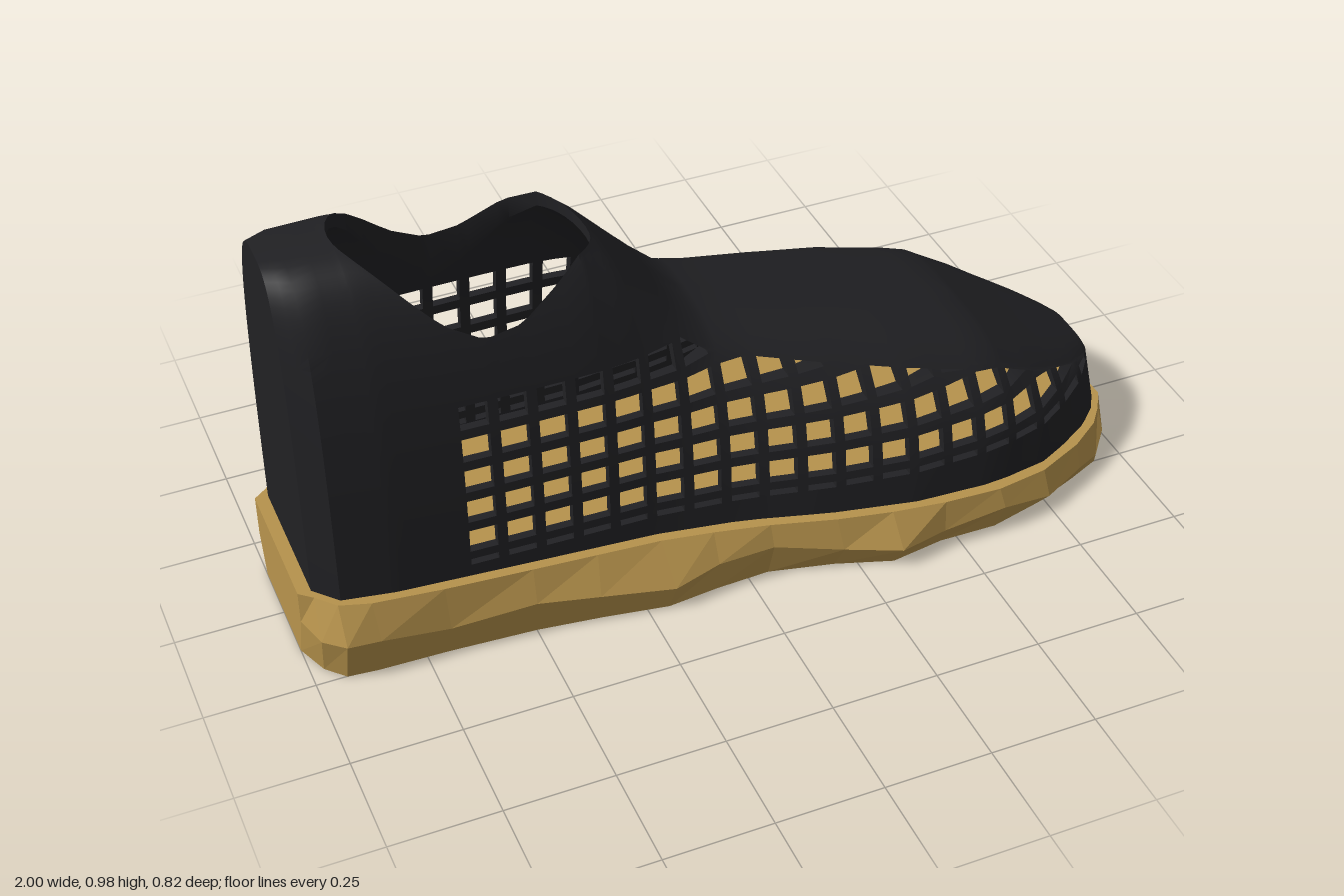
import * as THREE from 'three';
import { toCreasedNormals } from 'three/addons/utils/BufferGeometryUtils.js';

const { lerp, clamp } = THREE.MathUtils;
const N = 3.4; // exponent of the superelliptic cross-section

// Linear interpolation through [x, value] knots
function along(knots, x) {
  if (x <= knots[0][0]) return knots[0][1];
  for (let i = 1; i < knots.length; i++) {
    const [x0, v0] = knots[i - 1], [x1, v1] = knots[i];
    if (x <= x1) return lerp(v0, v1, (x - x0) / (x1 - x0));
  }
  return knots[knots.length - 1][1];
}

const HEIGHT = [[-0.97, 0.975], [-0.8, 0.972], [-0.55, 0.957], [-0.4, 0.93], [-0.32, 0.902], [-0.255, 0.845],
  [-0.1, 0.68], [-0.06, 0.64], [0, 0.615], [0.2, 0.557], [0.4, 0.5], [0.63, 0.43], [0.8, 0.325], [0.98, 0.222]];
const WIDTH = [[-0.97, 0.17], [-0.92, 0.222], [-0.8, 0.237], [-0.5, 0.245], [-0.2, 0.252], [0, 0.275], [0.2, 0.32],
  [0.4, 0.35], [0.6, 0.35], [0.75, 0.32], [0.88, 0.25], [0.95, 0.19], [0.98, 0.14]];
const BORDER = [[0.6, 0.055], [0.95, 0.02], [0.98, 0.012]]; // solid band above the mesh

const height = (x) => along(HEIGHT, x);
const width = (x) => along(WIDTH, x);
const meshTop = (x) => height(x) - along(BORDER, x);
const soleTop = (x) => 0.2 - 0.05 * (x + 1);

// Half width of the elliptical foot opening
const opening = (x) => 0.2 * Math.sqrt(Math.max(0, 1 - ((x + 0.535) / 0.28) ** 2));

// Perforation columns and rows
const columns = [], rows = [[0.212, 0.228]];
for (let k = 0; k < 19; k++) columns.push([-0.63 + k * 0.086, Math.min(-0.567 + k * 0.086, 0.955)]);
for (let k = 0; k < 5; k++) rows.push([0.249 + k * 0.0815, 0.307 + k * 0.0815]);
const inside = (spans, v) => spans.some(([a, b]) => v > a && v < b);

// Appends a quad, as two triangles, skipping collapsed ones
function quad(out, a, b, c, d) {
  for (const tri of [[a, b, c], [a, c, d]]) {
    const [p, q, r] = tri;
    const area = q.clone().sub(p).cross(r.clone().sub(p)).length();
    if (area > 1e-9) out.push(...tri);
  }
}

// Adds the -z half and makes a geometry
function mirrored(points) {
  const pos = [];
  for (const p of points) pos.push(p.x, p.y, p.z);
  for (let i = 0; i < points.length; i += 3) {
    for (const k of [0, 2, 1]) pos.push(points[i + k].x, points[i + k].y, -points[i + k].z);
  }
  return fromPositions(pos);
}

function fromPositions(pos) {
  const g = new THREE.BufferGeometry();
  g.setAttribute('position', new THREE.Float32BufferAttribute(pos, 3));
  g.computeVertexNormals();
  return g;
}

function buildUpper() {
  const xs = [...new Set([-0.97, -0.945, -0.92, -0.87, -0.83, -0.815, -0.812, -0.805, -0.79, -0.77, -0.74, -0.7, -0.66,
    -0.32, -0.295, -0.275, -0.265, -0.258, -0.255, 0.967, 0.98, ...columns.flat()])].sort((a, b) => a - b);
  const ys = rows.flat();
  const last = ys.length, steps = 16;

  // One skin of the +z half; inner skins are inset by the wall thickness
  function skin(inner) {
    return xs.map((x) => {
      const top = height(x) - (inner ? along(BORDER, x) * 0.5 : 0);
      const half = width(x) - (inner ? 0.02 : 0);
      const px = inner ? clamp(x, -0.945, 0.965) : x;
      const line = [soleTop(x) - 0.01, ...ys].map((v) => {
        const y = Math.min(v, meshTop(x));
        return new THREE.Vector3(px, y, half * Math.pow(1 - Math.pow(y / top, N), 1 / N));
      });
      // crown, running up to the centre line or to the opening's edge
      const a0 = Math.asin(Math.pow(line[last].y / top, N / 2));
      const a1 = Math.max(a0, Math.acos(Math.min(1, Math.pow(opening(x) / half, N / 2))));
      for (let k = 1; k <= steps; k++) {
        const a = lerp(a0, a1, k / steps);
        line.push(new THREE.Vector3(px, top * Math.pow(Math.sin(a), 2 / N),
          half * Math.pow(Math.max(0, Math.cos(a)), 2 / N)));
      }
      return line;
    });
  }

  const A = skin(false), B = skin(true), out = [];
  const nj = last + steps;
  const isHole = (i, j) => i >= 0 && i < xs.length - 1 && j >= 1 && j < last
    && inside(columns, (xs[i] + xs[i + 1]) / 2) && inside(rows, (ys[j - 1] + ys[j]) / 2);

  for (let i = 0; i < xs.length - 1; i++) {
    for (let j = 0; j < nj; j++) {
      const corners = [[i, j], [i + 1, j], [i + 1, j + 1], [i, j + 1]];
      if (!isHole(i, j)) {
        const o = corners.map(([u, v]) => A[u][v]), n = corners.map(([u, v]) => B[u][v]);
        quad(out, ...o);
        quad(out, n[3], n[2], n[1], n[0]);
        continue;
      }
      // walls of each perforation
      const next = [[i, j - 1], [i + 1, j], [i, j + 1], [i - 1, j]];
      next.forEach(([u, v], k) => {
        if (isHole(u, v)) return;
        const [p, q] = [corners[k], corners[(k + 1) % 4]];
        quad(out, A[p[0]][p[1]], B[p[0]][p[1]], B[q[0]][q[1]], A[q[0]][q[1]]);
      });
    }
    // rim of the foot opening
    if (opening((xs[i] + xs[i + 1]) / 2) > 0) quad(out, A[i][nj], A[i + 1][nj], B[i + 1][nj], B[i][nj]);
  }

  // heel and toe end walls
  const mid = (p) => new THREE.Vector3(p.x, p.y, 0);
  for (const S of [A, B]) {
    for (const [line, front] of [[S[0], S === B], [S[xs.length - 1], S === A]]) {
      for (let j = 0; j < nj; j++) {
        const c = [line[j], mid(line[j]), mid(line[j + 1]), line[j + 1]];
        quad(out, ...(front ? c : c.reverse()));
      }
    }
  }
  return toCreasedNormals(mirrored(out), 0.6);
}

function buildSole() {
  // [x, half width of the bulge]
  const stations = [[-1, 0.17], [-0.97, 0.24], [-0.93, 0.28], [-0.86, 0.282], [-0.7, 0.28], [-0.5, 0.295], [-0.35, 0.315],
    [-0.2, 0.337], [-0.08, 0.322], [0.05, 0.325], [0.2, 0.365], [0.33, 0.41], [0.46, 0.388], [0.6, 0.387], [0.73, 0.367],
    [0.85, 0.31], [0.93, 0.265], [0.97, 0.215], [1, 0.13]];
  let seed = 7;
  const jitter = () => ((seed = (seed * 16807) % 2147483647) / 2147483647) * 2 - 1;
  const out = [];

  // three rings per side: ground, uneven bulge, top edge
  const sides = [1, -1].map((s) => stations.map(([x, w], i) => {
    const end = i === 0 || i === stations.length - 1;
    const dx = end ? 0 : jitter() * 0.012;
    return [
      new THREE.Vector3(x, 0, s * (w - 0.025 + jitter() * 0.012)),
      new THREE.Vector3(x + dx, soleTop(x) * 0.5 + jitter() * 0.022, s * w),
      new THREE.Vector3(x, soleTop(x), s * Math.min(w, width(x) + 0.024)),
    ];
  }));
  const [L, R] = sides;
  for (let i = 0; i < stations.length - 1; i++) {
    for (let j = 0; j < 2; j++) {
      quad(out, L[i][j], L[i + 1][j], L[i + 1][j + 1], L[i][j + 1]);
      quad(out, R[i + 1][j], R[i][j], R[i][j + 1], R[i + 1][j + 1]);
    }
    quad(out, L[i][2], L[i + 1][2], R[i + 1][2], R[i][2]);
    quad(out, R[i][0], R[i + 1][0], L[i + 1][0], L[i][0]);
  }
  // heel and toe ends
  const e = stations.length - 1;
  for (let j = 0; j < 2; j++) {
    quad(out, R[0][j], L[0][j], L[0][j + 1], R[0][j + 1]);
    quad(out, L[e][j], R[e][j], R[e][j + 1], L[e][j + 1]);
  }
  return fromPositions(out.flatMap((p) => [p.x, p.y, p.z]));
}

export function createModel() {
  const group = new THREE.Group();
  group.name = 'shoe';

  const upper = new THREE.Mesh(buildUpper(),
    new THREE.MeshStandardMaterial({ color: 0x212124, side: THREE.DoubleSide }));
  upper.name = 'perforatedUpper';

  const sole = new THREE.Mesh(buildSole(),
    new THREE.MeshStandardMaterial({ color: 0xb8944d, flatShading: true }));
  sole.name = 'sole';

  group.add(upper, sole);
  return group;
}
